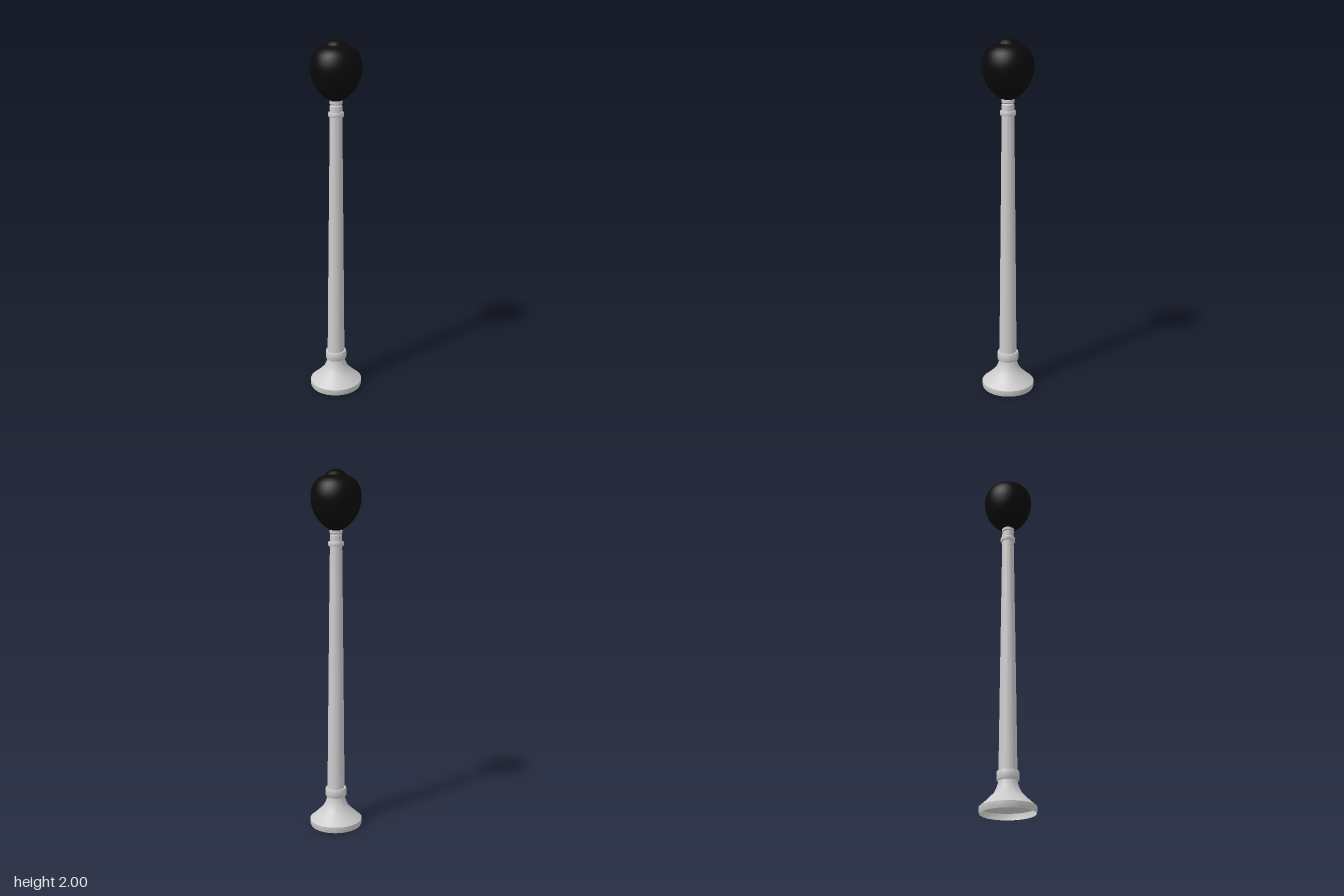
import * as THREE from 'three';
import { toCreasedNormals } from 'three/addons/utils/BufferGeometryUtils.js';

const metal = new THREE.MeshStandardMaterial({ color: 0xcccccc, side: THREE.DoubleSide });
const black = new THREE.MeshStandardMaterial({ color: 0x0a0a0a });

// Turned part from [radius, height] pairs, rounded where the angle is shallow
function turned(name, profile, material, crease = 0.5) {
  const points = profile.map(([r, y]) => new THREE.Vector2(r, y));
  const mesh = new THREE.Mesh(toCreasedNormals(new THREE.LatheGeometry(points, 48), crease), material);
  mesh.name = name;
  return mesh;
}

export function createModel() {
  const post = new THREE.Group();
  post.name = 'lampPost';

  // Hollow flared foot
  post.add(turned('base', [
    [0.147, 0], [0.151, 0.01], [0.151, 0.035], [0.138, 0.045], [0.105, 0.075],
    [0.075, 0.105], [0.062, 0.13], [0.054, 0.152], [0.05, 0.175],
  ], metal));

  // Collar above the foot
  post.add(turned('lowerCollar', [
    [0.048, 0.17], [0.058, 0.17], [0.061, 0.176], [0.061, 0.212], [0.058, 0.22], [0.048, 0.22],
  ], metal));

  // Tapered column
  post.add(turned('column', [
    [0.05, 0.17], [0.049, 0.3], [0.043, 0.85], [0.036, 1.45], [0.034, 1.6],
  ], metal));

  // Collar and neck under the globe
  post.add(turned('upperCollar', [
    [0.033, 1.592], [0.041, 1.592], [0.043, 1.597], [0.043, 1.613], [0.041, 1.618], [0.033, 1.618],
  ], metal));
  post.add(turned('neck', [
    [0.034, 1.6], [0.034, 1.65], [0.03, 1.656], [0.036, 1.662], [0.036, 1.677], [0.02, 1.68],
  ], metal));

  // Acorn globe with a small rounded crown
  const curve = new THREE.SplineCurve([
    [0, 1.67], [0.02, 1.673], [0.058, 1.695], [0.1, 1.735], [0.127, 1.785], [0.139, 1.835],
    [0.138, 1.88], [0.122, 1.925], [0.095, 1.953], [0.062, 1.968], [0.045, 1.985], [0.022, 1.997], [0, 2],
  ].map(([r, y]) => new THREE.Vector2(r, y)));
  const outline = curve.getPoints(48).map((p) => [Math.max(0, p.x), Math.min(2, p.y)]);
  post.add(turned('globe', outline, black, 1.2));

  // Slightly narrower front to back
  post.scale.z = 0.97;

  const model = new THREE.Group();
  model.add(post);
  return model;
}
